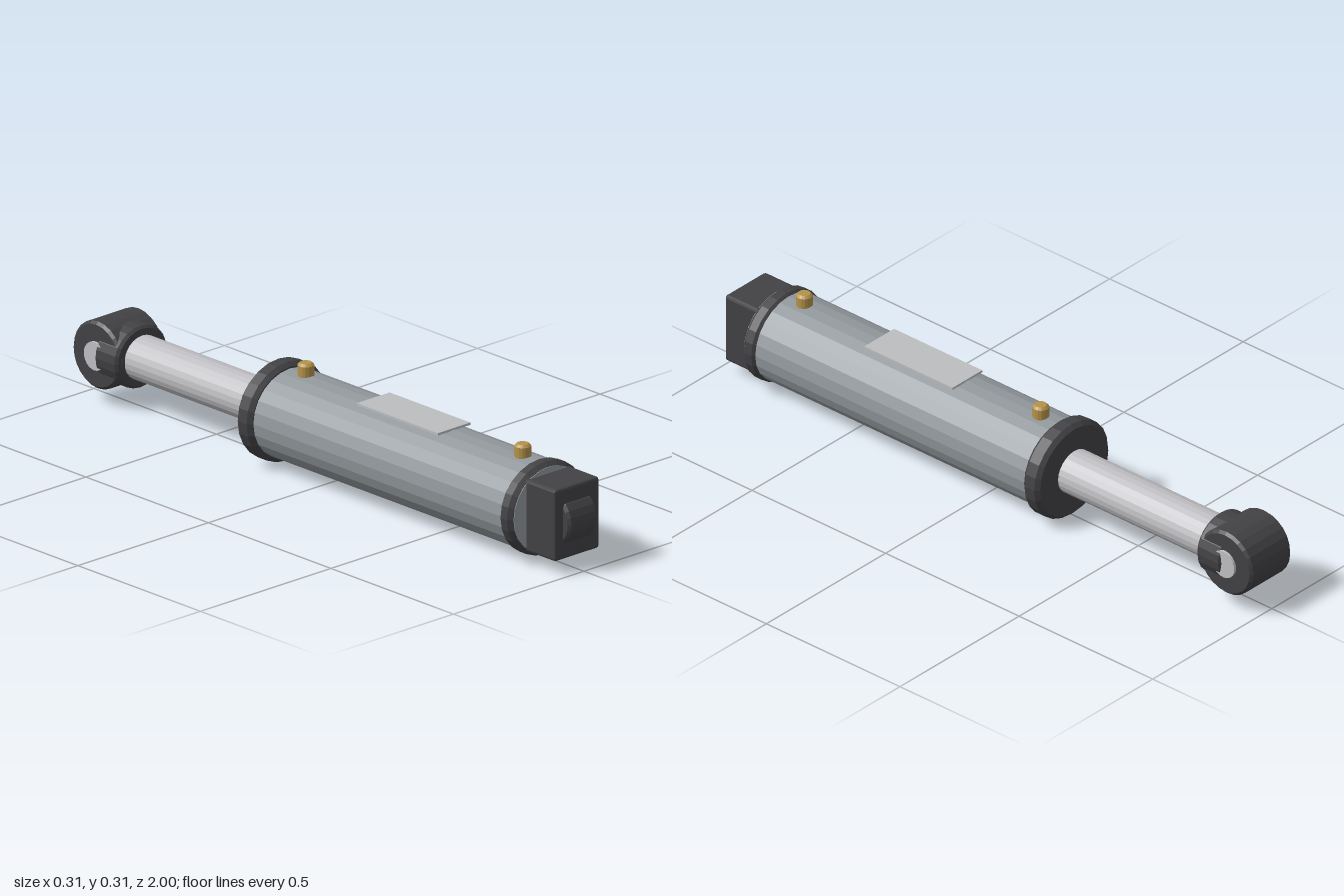
import * as THREE from 'three';
import { RoundedBoxGeometry } from 'three/addons/geometries/RoundedBoxGeometry.js';

const CY = 0.147; // height of the main axis

function material(name, color) {
  const m = new THREE.MeshStandardMaterial({ color, flatShading: true });
  m.name = name;
  return m;
}

// Closed round bar along y with chamfered ends
function roundBar(radius, from, to, bevel = 0, sides = 24) {
  const p = [[0, from], [radius - bevel, from]];
  if (bevel) p.push([radius, from + bevel], [radius, to - bevel]);
  p.push([radius - bevel, to], [0, to]);
  return new THREE.LatheGeometry(p.map(([x, y]) => new THREE.Vector2(x, y)), sides);
}

export function createModel() {
  const group = new THREE.Group();
  const dark = material('dark iron', 0x424245);
  const steel = material('grey steel', 0x92999d);
  const chrome = material('bright chrome', 0xc0c0c4);
  const brass = material('brass', 0xb4924a);
  const label = material('pale plate', 0xbcbec0);

  const add = (name, geometry, mat, x, y, z) => {
    const mesh = new THREE.Mesh(geometry, mat);
    mesh.name = name;
    mesh.position.set(x, y, z);
    group.add(mesh);
    return mesh;
  };

  // Bar along z, slightly wider than tall
  const along = (name, mat, rx, ry, z0, z1, bevel, sides) => {
    const g = roundBar(rx, z0, z1, bevel, sides).rotateX(Math.PI / 2).scale(1, ry / rx, 1);
    return add(name, g, mat, 0, CY, 0);
  };
  // Bar across x
  const across = (name, mat, r, halfWidth, z, bevel, sides) => {
    const g = roundBar(r, -halfWidth, halfWidth, bevel, sides).rotateZ(-Math.PI / 2);
    return add(name, g, mat, 0, CY, z);
  };

  // Cylinder body, its end showing inside the front collar
  along('barrel', steel, 0.14, 0.131, -0.22, 0.83, 0);
  along('barrelEndFace', steel, 0.134, 0.126, 0.82, 0.857, 0);
  along('frontCollar', dark, 0.148, 0.138, 0.805, 0.855, 0.012);
  along('rearCollar', dark, 0.155, 0.147, -0.26, -0.2, 0.012);

  // Front mounting block with rounded boss
  add('mountBlock', new RoundedBoxGeometry(0.17, 0.213, 0.128, 1, 0.008), dark, 0, CY, 0.909);
  across('mountBoss', dark, 0.08, 0.055, 0.92, 0.008);

  // Piston rod and its eye
  along('pistonRod', chrome, 0.068, 0.065, -0.85, -0.24, 0);
  along('rodCollar', dark, 0.1, 0.092, -0.895, -0.803, 0.008);
  across('rodEye', dark, 0.1, 0.085, -0.9, 0.008);
  across('eyePin', chrome, 0.042, 0.093, -0.9, 0);

  // Hydraulic ports on top
  for (const z of [0.75, -0.135]) {
    add('port', roundBar(0.024, 0.255, 0.314, 0.007, 16), brass, 0, 0, z);
  }

  // Thin plate on top of the barrel
  add('nameplate', new THREE.BoxGeometry(0.125, 0.007, 0.33), label, 0, 0.2795, 0.305);

  return group;
}
